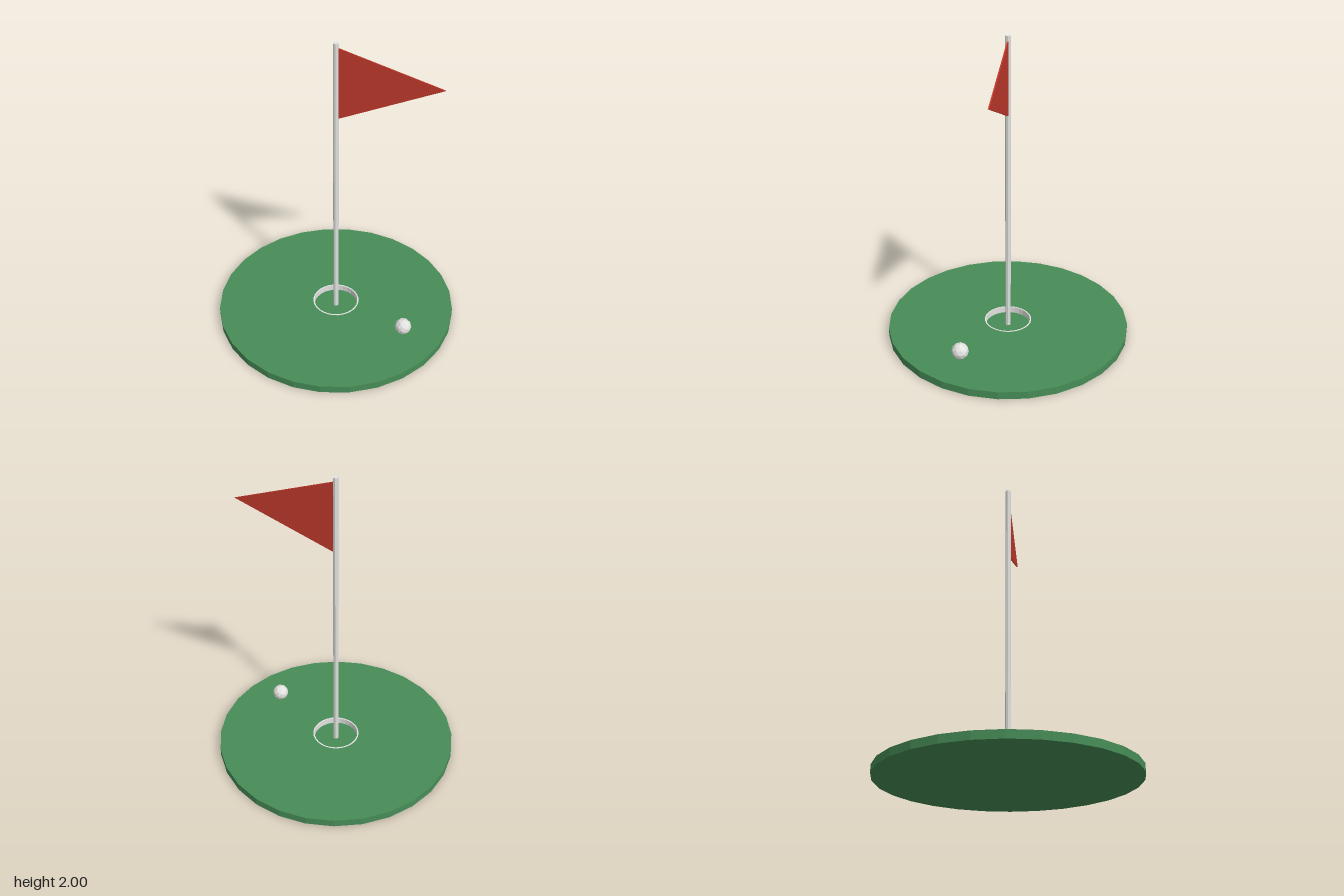
import * as THREE from 'three';

const flat = (name, color) => new THREE.MeshStandardMaterial({ name, color, flatShading: true });

export function createModel() {
  const grass = flat('grass green', 0x478d57);
  const white = flat('off white', 0xe2e2e0);
  const red = flat('flag red', 0xc0392b);
  const group = new THREE.Group();
  group.name = 'golfGreen';

  const add = (name, geometry, material, x = 0, y = 0, z = 0) => {
    const mesh = new THREE.Mesh(geometry, material);
    mesh.name = name;
    mesh.position.set(x, y, z);
    group.add(mesh);
    return mesh;
  };
  const lathe = (points, sides) =>
    new THREE.LatheGeometry(points.map(([r, y]) => new THREE.Vector2(r, y)), sides);

  // Round green with a shallow hole sunk into its centre
  add('puttingGreen', lathe([
    [0, 0], [0.8, 0], [0.8, 0.05], [0.152, 0.05], [0.152, 0.01], [0, 0.01],
  ], 28), grass);

  // Pale rim and wall lining the hole
  add('cupLiner', lathe([
    [0.157, 0.049], [0.157, 0.052], [0.148, 0.052], [0.148, 0.01],
  ], 28), white);

  // Pole standing on the floor of the hole
  add('flagPole', new THREE.CylinderGeometry(0.018, 0.018, 1.99, 8), white, 0, 1.005, 0);

  // Triangular pennant, swung slightly toward the front
  const outline = new THREE.Shape([
    new THREE.Vector2(0.01, 1.505),
    new THREE.Vector2(0.64, 1.765),
    new THREE.Vector2(0.01, 1.97),
  ]);
  const pennant = new THREE.ExtrudeGeometry(outline, { depth: 0.008, bevelEnabled: false });
  pennant.translate(0, 0, -0.004);
  add('flag', pennant, red).rotation.y = -0.087;

  // Faceted ball resting on the grass
  add('ball', new THREE.IcosahedronGeometry(0.055, 1), white, 0.477, 0.107, 0.265);

  return group;
}
